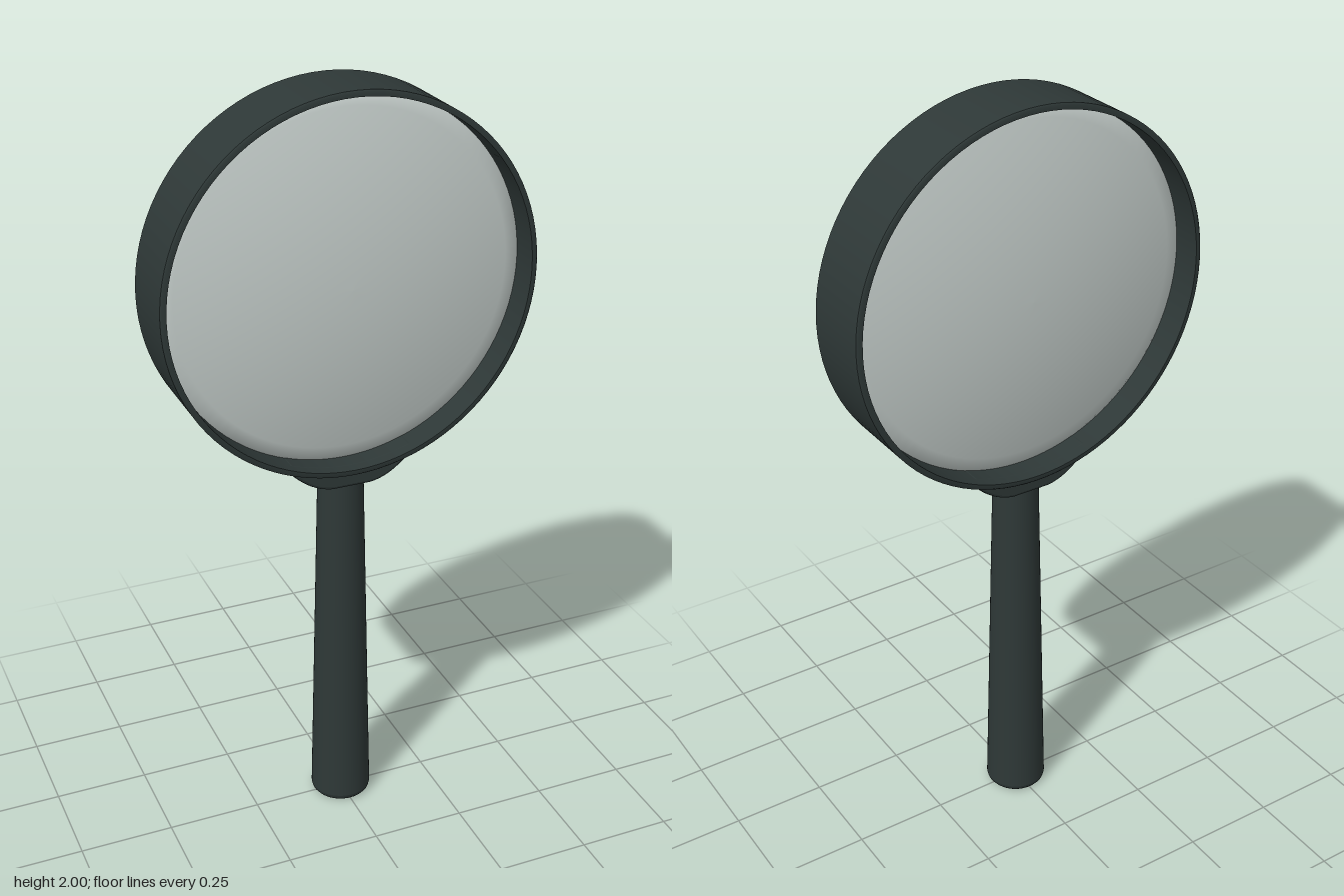
import * as THREE from 'three';

const CENTER_Y = 1.515;
const RING_R = 0.485;

const frameMat = new THREE.MeshStandardMaterial({ color: 0x2e3837 });
frameMat.name = 'dark frame';
const glassMat = new THREE.MeshStandardMaterial({ color: 0xc6cfcc });
glassMat.name = 'pale glass';

function part(name, geometry, material) {
  const mesh = new THREE.Mesh(geometry, material);
  mesh.name = name;
  return mesh;
}

const v2 = (x, y) => new THREE.Vector2(x, y);

// Wide band around the lens; each side is its own lathe so edges stay sharp
function makeRing() {
  const ring = new THREE.Group();
  ring.name = 'ring';
  const inner = 0.47, h = 0.1, c = 0.004;
  const sides = {
    ringOuterWall: [v2(RING_R, -h + c), v2(RING_R, h - c)],
    ringFrontRim: [v2(RING_R, h - c), v2(RING_R - c, h), v2(inner, h)],
    ringInnerWall: [v2(inner, h), v2(inner, -h)],
    ringBackRim: [v2(inner, -h), v2(RING_R - c, -h), v2(RING_R, -h + c)],
  };
  for (const [name, profile] of Object.entries(sides)) {
    ring.add(part(name, new THREE.LatheGeometry(profile, 96).rotateX(Math.PI / 2), frameMat));
  }
  ring.position.y = CENTER_Y;
  return ring;
}

// Glass disc bulging on both sides
function makeLens() {
  const R = 0.472, edge = 0.02, bulge = 0.06, steps = 12;
  const front = [];
  for (let i = 0; i <= steps; i++) {
    const t = i / steps;
    front.push(v2(R * t, edge + bulge * (1 - t * t)));
  }
  const back = front.map((p) => v2(p.x, -p.y));
  const profile = [...back, ...front.reverse()];
  const lens = part('lens', new THREE.LatheGeometry(profile, 96).rotateX(Math.PI / 2), glassMat);
  lens.position.y = CENTER_Y;
  return lens;
}

// Cradle joining ring and handle, its top following the ring
function makeCollar() {
  const a = 0.36, r = RING_R - 0.008, b = 0.008, depth = 0.15;
  const x = r * Math.sin(a), y = CENTER_Y - r * Math.cos(a);
  const shape = new THREE.Shape();
  shape.moveTo(-x, y);
  shape.quadraticCurveTo(-0.11, 1.0, -0.05, 0.994);
  shape.lineTo(0.05, 0.994);
  shape.quadraticCurveTo(0.11, 1.0, x, y);
  shape.absarc(0, CENTER_Y, r, -Math.PI / 2 + a, -Math.PI / 2 - a, true);
  const geometry = new THREE.ExtrudeGeometry(shape, {
    depth: depth - 2 * b, bevelEnabled: true, bevelSize: b, bevelThickness: b,
    bevelSegments: 2, bevelOffset: 0, curveSegments: 24,
  });
  geometry.translate(0, 0, -depth / 2 + b);
  return part('collar', geometry, frameMat);
}

// Tapered handle with a softened foot
function makeHandle() {
  const handle = new THREE.Group();
  handle.name = 'handle';
  const shaft = [v2(0.081, 0.018), v2(0.059, 1.0)];
  const foot = [v2(0, 0), v2(0.066, 0), v2(0.074, 0.003), v2(0.079, 0.009), v2(0.081, 0.018)];
  handle.add(part('handleShaft', new THREE.LatheGeometry(shaft, 48), frameMat));
  handle.add(part('handleFoot', new THREE.LatheGeometry(foot, 48), frameMat));
  return handle;
}

export function createModel() {
  const model = new THREE.Group();
  model.name = 'magnifyingGlass';
  model.add(makeRing(), makeLens(), makeCollar(), makeHandle());
  return model;
}
